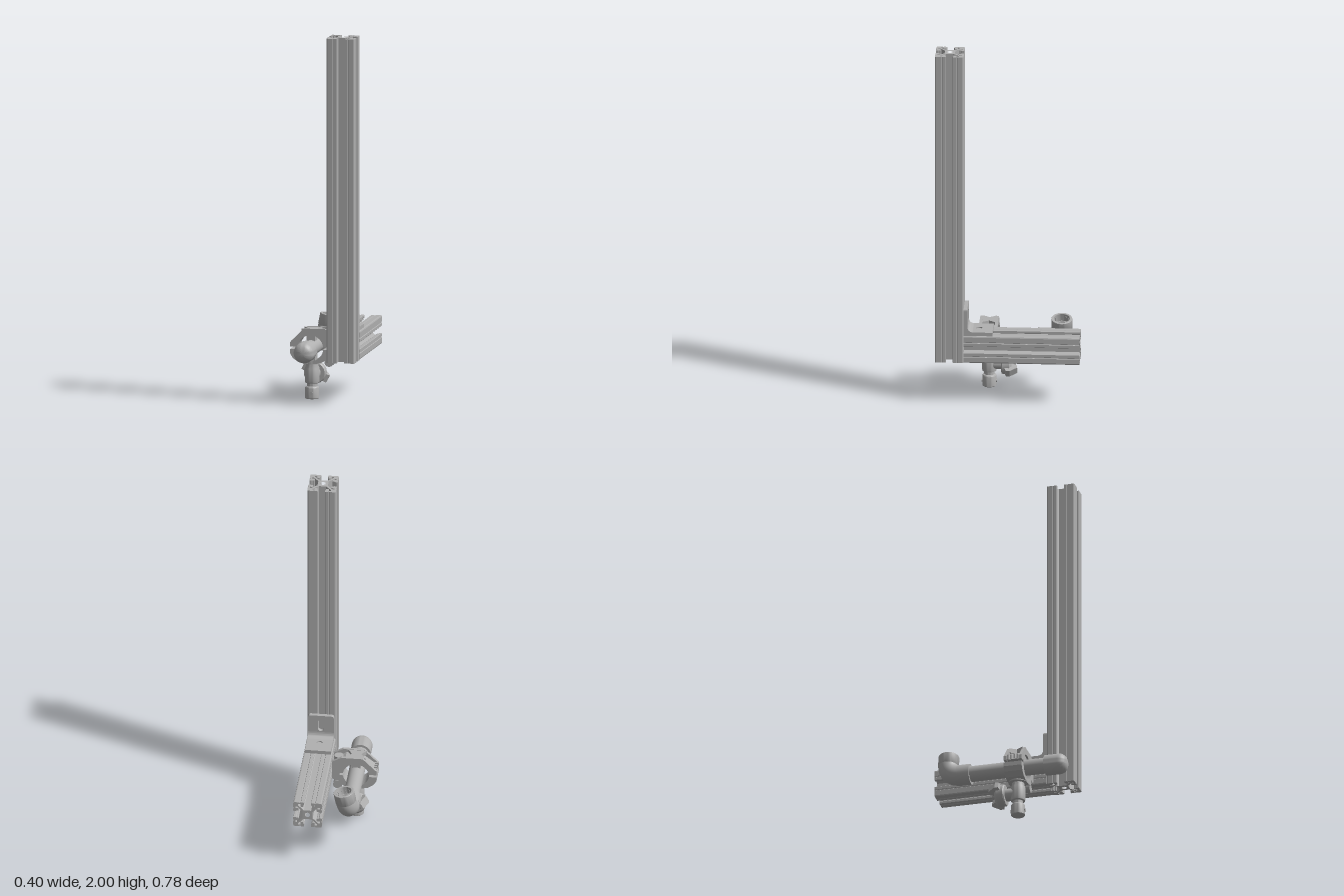
import * as THREE from 'three';
import { toCreasedNormals } from 'three/addons/utils/BufferGeometryUtils.js';

const metal = new THREE.MeshStandardMaterial({ color: 0xb0b0b0 });
metal.name = 'grey metal';

const PIPE_X = -0.088, PIPE_Y = 0.28, CLAMP_Z = 0.1125;

function add(parent, name, geometry, x = 0, y = 0, z = 0) {
  const mesh = new THREE.Mesh(geometry, metal);
  mesh.name = name;
  mesh.position.set(x, y, z);
  parent.add(mesh);
  return mesh;
}
const shapeOf = pts => new THREE.Shape(pts.map(p => new THREE.Vector2(p[0], p[1])));
const extrude = (shape, depth) =>
  new THREE.ExtrudeGeometry(shape, { depth, bevelEnabled: false, curveSegments: 20 });
const lathe = (pts, segments = 40) =>
  toCreasedNormals(new THREE.LatheGeometry(pts.map(p => new THREE.Vector2(p[0], p[1])), segments), 0.6);
const rod = (r, length, segments = 32) => new THREE.CylinderGeometry(r, r, length, segments);
const rodZ = (r, length, segments) => rod(r, length, segments).rotateX(Math.PI / 2);

// Slotted square section, made by mirroring and turning one eighth of the outline
function slottedProfile() {
  const eighth = [[0.02, 0.028], [0.051, 0.058], [0.051, 0.0665], [0.039, 0.0665], [0.039, 0.053],
    [0.035, 0.049], [0.025, 0.049], [0.023, 0.053], [0.023, 0.06], [0.019, 0.064], [0.019, 0.0755], [0.021, 0.0775],
    [0.036, 0.0775], [0.038, 0.0745], [0.042, 0.0745], [0.044, 0.0775], [0.07, 0.0775], [0.0755, 0.0755]];
  const quarter = [...eighth, ...eighth.slice(0, -1).reverse().map(([x, y]) => [y, x])];
  const pts = [];
  for (let i = 0; i < 4; i++) {
    for (const [x, y] of quarter) {
      pts.push([[x, y], [y, -x], [-x, -y], [-y, x]][i]);
    }
  }
  const shape = shapeOf(pts);
  shape.holes.push(new THREE.Path().absarc(0, 0, 0.014, 0, Math.PI * 2, true));
  return shape;
}

function buildFrame(group) {
  add(group, 'post', extrude(slottedProfile(), 1.765).rotateX(-Math.PI / 2), 0.12, 0.235, 0.3125);
  add(group, 'beam', extrude(slottedProfile(), 0.625), 0.12, 0.3125, -0.39);
}

// Corner bracket: wall plate with a slot, foot plate with a bolt hole, curved fillet
function buildBracket(group) {
  const bracket = new THREE.Group();
  bracket.name = 'cornerBracket';
  const wall = new THREE.Shape();
  wall.moveTo(-0.07, 0.44);
  wall.lineTo(0.07, 0.44);
  wall.lineTo(0.07, 0.53);
  wall.quadraticCurveTo(0.07, 0.545, 0.055, 0.545);
  wall.lineTo(-0.055, 0.545);
  wall.quadraticCurveTo(-0.07, 0.545, -0.07, 0.53);
  const slot = new THREE.Path();
  slot.absarc(0, 0.505, 0.016, 0, Math.PI, false);
  slot.absarc(0, 0.462, 0.016, Math.PI, Math.PI * 2, false);
  wall.holes.push(slot);
  add(bracket, 'bracketWall', extrude(wall, 0.02), 0.12, 0, 0.215);

  const foot = shapeOf([[-0.07, -0.185], [0.07, -0.185], [0.07, -0.08], [-0.07, -0.08]]);
  foot.holes.push(new THREE.Path().absarc(0, -0.155, 0.017, 0, Math.PI * 2, true));
  add(bracket, 'bracketFoot', extrude(foot, 0.02).rotateX(-Math.PI / 2), 0.12, 0.39, 0);
  add(bracket, 'bracketBolt', rod(0.0165, 0.014), 0.12, 0.397, 0.155);

  const fillet = new THREE.Shape();
  fillet.moveTo(0.185, 0.39);
  fillet.lineTo(0.235, 0.39);
  fillet.lineTo(0.235, 0.44);
  fillet.lineTo(0.215, 0.44);
  fillet.quadraticCurveTo(0.213, 0.412, 0.185, 0.41);
  add(bracket, 'bracketFillet', toCreasedNormals(extrude(fillet, 0.14).rotateY(-Math.PI / 2), 0.6), 0.19, 0, 0);
  group.add(bracket);
}

function buildPipe(group) {
  const pipe = new THREE.Group();
  pipe.name = 'pipeAssembly';
  pipe.position.set(PIPE_X, PIPE_Y, 0);
  add(pipe, 'pipe', rodZ(0.043, 0.46, 40), 0, 0, 0.06);

  // Domed end cap
  const cap = [[0.043, 0.268], [0.056, 0.268], [0.056, 0.345]];
  for (let i = 1; i <= 6; i++) {
    const a = i * Math.PI / 12;
    cap.push([i === 6 ? 0 : 0.056 * Math.pow(Math.cos(a), 0.8), 0.345 + 0.045 * Math.sin(a)]);
  }
  add(pipe, 'endCap', lathe(cap).rotateX(Math.PI / 2));

  // Elbow, leaning a little sideways
  const elbow = new THREE.Group();
  elbow.name = 'elbow';
  elbow.rotation.z = -0.2;
  const bend = new THREE.CurvePath();
  const k = 0.065 * 0.5523;
  bend.add(new THREE.CubicBezierCurve3(new THREE.Vector3(0, 0, -0.215), new THREE.Vector3(0, 0, -0.215 - k),
    new THREE.Vector3(0, 0.065 - k, -0.28), new THREE.Vector3(0, 0.065, -0.28)));
  add(elbow, 'elbowBend', new THREE.TubeGeometry(bend, 20, 0.055, 36));
  add(elbow, 'elbowSleeve', rodZ(0.0565, 0.07, 40), 0, 0, -0.185);
  add(elbow, 'elbowSocket', lathe([[0.054, 0.062], [0.0565, 0.066], [0.0565, 0.125], [0.055, 0.127], [0.043, 0.127],
    [0.042, 0.085], [0.034, 0.085], [0.034, 0.06], [0, 0.06]]), 0, 0, -0.28);
  for (let i = 0; i < 12; i++) {
    const a = i * Math.PI / 6;
    const rib = add(elbow, 'socketRib', new THREE.BoxGeometry(0.003, 0.03, 0.004),
      0.0415 * Math.cos(a), 0.1, -0.28 + 0.0415 * Math.sin(a));
    rib.rotation.y = -a;
  }
  pipe.add(elbow);
  group.add(pipe);
}

// Upper jaw outline; "inset" lowers the sloping shoulders to form pockets
function upperJaw(inset) {
  const s = shapeOf([[-0.2, 0.287], [-0.2 + inset, 0.31], [-0.125 + inset, 0.386 - inset],
    [-0.01 - inset, 0.386 - inset], [0.042 - inset, 0.357 - inset], [0.042, 0.25], [0.02, 0.235], [0, 0.25], [0, 0.287]]);
  s.lineTo(PIPE_X + 0.07, 0.287);
  s.absarc(PIPE_X, PIPE_Y, 0.07, 0.1, Math.PI - 0.1, false);
  return s;
}

function buildClamp(group) {
  const clamp = new THREE.Group();
  clamp.name = 'pipeClamp';
  add(clamp, 'upperJawCore', extrude(upperJaw(0.018), 0.07), 0, 0, 0.08);
  for (const z of [0.062, 0.147]) add(clamp, 'upperJawCheek', extrude(upperJaw(0), 0.016), 0, 0, z);

  // Top web with notched ends
  const web = shapeOf([[-0.138, -0.15], [-0.036, -0.15], [-0.06, -CLAMP_Z], [-0.036, -0.075],
    [-0.138, -0.075], [-0.112, -CLAMP_Z]]);
  add(clamp, 'topWeb', extrude(web, 0.025).rotateX(-Math.PI / 2), 0, 0.359, 0);
  for (let i = 0; i < 4; i++) {
    add(clamp, 'jawTooth', new THREE.BoxGeometry(0.016, 0.03, 0.008), -0.19, 0.302, 0.085 + i * 0.018);
  }

  const lower = shapeOf([[-0.2, 0.273], [-0.2, 0.25], [-0.185, 0.225], [-0.155, 0.203], [-0.12, 0.195],
    [-0.055, 0.195], [-0.02, 0.206], [0.005, 0.23], [0.005, 0.273]]);
  lower.lineTo(PIPE_X + 0.07, 0.273);
  lower.absarc(PIPE_X, PIPE_Y, 0.07, -0.1, -Math.PI + 0.1, true);
  add(clamp, 'lowerJaw', extrude(lower, 0.101), 0, 0, 0.062);
  for (const y of [-0.055, 0.055]) {
    add(clamp, 'gripPad', new THREE.BoxGeometry(0.045, 0.036, 0.08), PIPE_X, PIPE_Y + y, CLAMP_Z);
  }

  // Closing screw and its barrel nut
  add(clamp, 'screwShank', rod(0.011, 0.16), 0.01, 0.28, CLAMP_Z);
  add(clamp, 'screwHead', rod(0.025, 0.035), 0.01, 0.352, CLAMP_Z);
  add(clamp, 'barrelNut', rodZ(0.025, 0.085), 0.012, 0.205, CLAMP_Z);
  add(clamp, 'nutLug', new THREE.BoxGeometry(0.03, 0.04, 0.07), 0.015, 0.23, CLAMP_Z);
  group.add(clamp);
}

function buildSpigot(group) {
  const spigot = new THREE.Group();
  spigot.name = 'spigotAssembly';
  spigot.position.set(PIPE_X, 0, CLAMP_Z);
  add(spigot, 'spigot', lathe([[0, 0], [0.034, 0], [0.038, 0.004], [0.038, 0.06], [0.034, 0.066], [0.028, 0.068],
    [0.028, 0.084], [0.038, 0.088], [0.04, 0.1], [0.04, 0.165], [0.034, 0.18], [0.034, 0.19], [0.052, 0.192],
    [0.052, 0.21], [0, 0.21]], 32));
  add(spigot, 'spigotPin', rodZ(0.01, 0.082, 16), 0, 0.03, 0);
  add(spigot, 'sideBoss', rodZ(0.034, 0.075), 0, 0.13, -0.035);

  // Wing knob on the side boss
  const knob = new THREE.Group();
  knob.name = 'wingKnob';
  knob.position.set(0, 0.13, -CLAMP_Z);
  knob.rotation.z = -0.5;
  add(knob, 'knobHub', lathe([[0, -0.01], [0.045, -0.01], [0.06, 0.004], [0.06, 0.04], [0.055, 0.046], [0, 0.046]], 24)
    .rotateX(Math.PI / 2));
  const wing = shapeOf([[-0.048, 0.03], [-0.076, 0.02], [-0.076, 0], [-0.05, -0.04], [-0.036, -0.04], [-0.02, -0.015],
    [0.02, -0.015], [0.036, -0.04], [0.05, -0.04], [0.076, 0], [0.076, 0.02], [0.048, 0.03]]);
  add(knob, 'knobWings', extrude(wing, 0.044).rotateX(Math.PI / 2), 0, 0.022, 0);
  add(knob, 'knobScrew', rodZ(0.016, 0.03, 20), 0, 0, -0.015);
  spigot.add(knob);
  group.add(spigot);
}

export function createModel() {
  const group = new THREE.Group();
  group.name = 'clampFrame';
  buildFrame(group);
  buildBracket(group);
  buildPipe(group);
  buildClamp(group);
  buildSpigot(group);
  return group;
}
